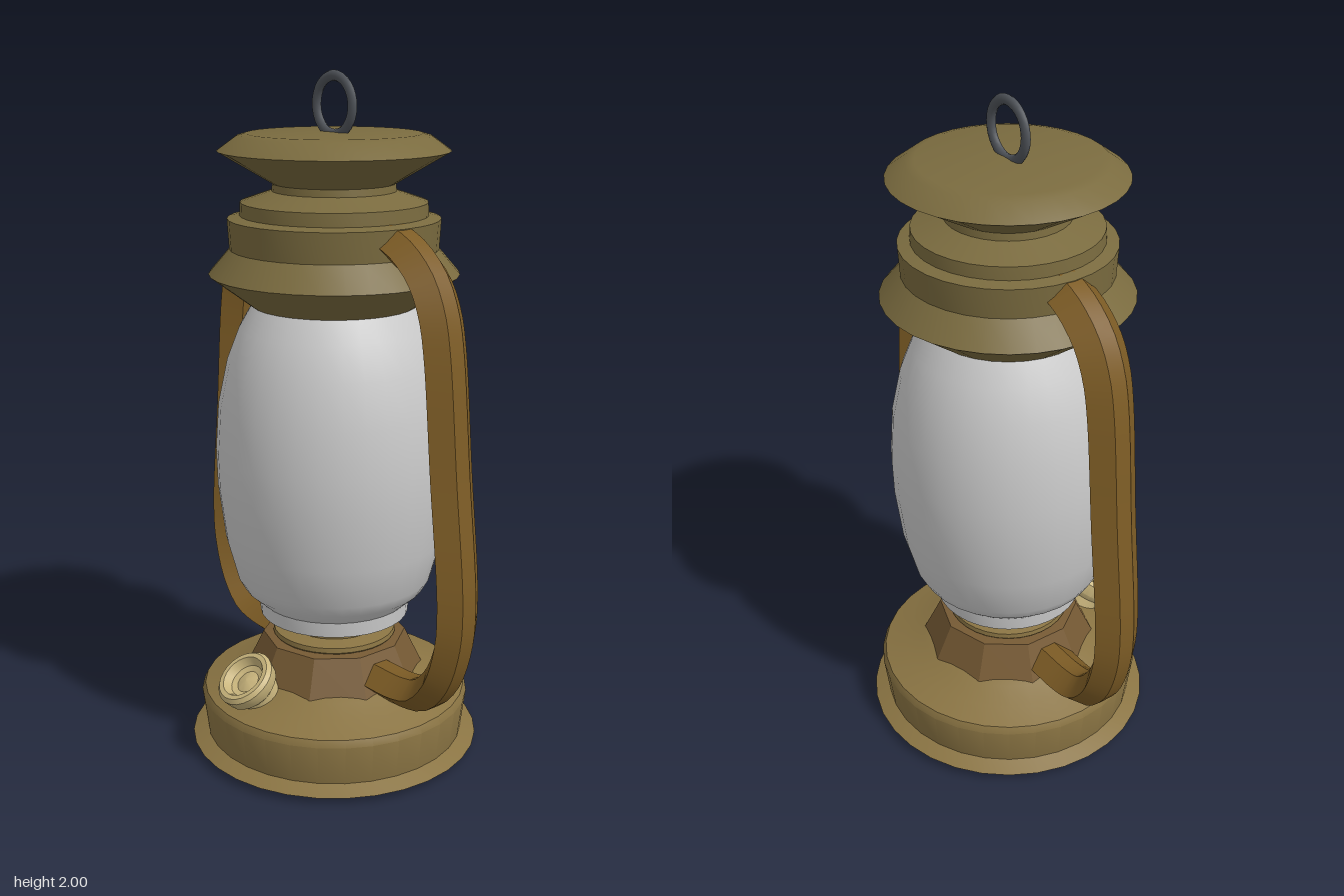
import * as THREE from 'three';
import { toCreasedNormals } from 'three/addons/utils/BufferGeometryUtils.js';

const mat = (color, extra = {}) => new THREE.MeshStandardMaterial({ color, ...extra });
const brass = mat(0x8a7443);
const hoodBrass = mat(0x7a6b3f);
const bronze = mat(0x765a34, { flatShading: true });
const tubeBrass = mat(0x7d5c25);
const paleBrass = mat(0xc8b47c);
const iron = mat(0x50545a);
const glass = mat(0xcccccc);

export function createModel() {
  const model = new THREE.Group();

  const add = (name, geometry, material) => {
    const mesh = new THREE.Mesh(geometry, material);
    mesh.name = name;
    model.add(mesh);
    return mesh;
  };

  // Turned part from [radius, height] pairs, listed from bottom to top
  const turned = (name, profile, material, segments = 32, crease = 0.6) => {
    const points = profile.map(([r, y]) => new THREE.Vector2(r, y));
    return add(name, toCreasedNormals(new THREE.LatheGeometry(points, segments), crease), material);
  };

  // Fuel tank with a flared foot
  turned('fuelTank', [
    [0, 0.005], [0.37, 0.005], [0.435, 0.025], [0.39, 0.045], [0.405, 0.165],
    [0.395, 0.185], [0.33, 0.208], [0.27, 0.235], [0.2, 0.27], [0, 0.28],
  ], brass);

  // Faceted collar above the tank
  turned('tankCollar', [[0.285, 0.2], [0.215, 0.345], [0.18, 0.348], [0, 0.348]], bronze, 10);

  // Burner rings holding the globe
  turned('burner', [
    [0.175, 0.34], [0.185, 0.352], [0.183, 0.366], [0.135, 0.374],
    [0.135, 0.385], [0.155, 0.395], [0.162, 0.425], [0, 0.425],
  ], brass);

  // Barrel-shaped globe
  turned('globe', [
    [0, 0.42], [0.222, 0.42], [0.226, 0.465], [0.27, 0.505], [0.29, 0.54], [0.322, 0.66],
    [0.342, 0.82], [0.345, 0.93], [0.335, 1.07], [0.307, 1.2], [0.272, 1.29], [0.235, 1.355],
    [0.2, 1.365], [0, 1.365],
  ], glass);

  // Stepped hood
  turned('hood', [
    [0, 1.355], [0.235, 1.355], [0.355, 1.445], [0.295, 1.515], [0.3, 1.6], [0.265, 1.608],
    [0.263, 1.645], [0.175, 1.675], [0.172, 1.7], [0, 1.7],
  ], hoodBrass);

  // Chimney cap
  turned('chimneyCap', [
    [0.165, 1.66], [0.172, 1.695], [0.325, 1.785], [0.27, 1.825], [0.245, 1.832], [0, 1.834],
  ], hoodBrass);

  // Hanging ring, flattened front to back
  const ringGeometry = new THREE.TorusGeometry(0.079, 0.015, 8, 32);
  ringGeometry.scale(1, 1, 0.75);
  add('hangingRing', ringGeometry, iron).position.y = 1.906;

  // Tilted filler cap with a dished top
  const filler = turned('fillerCap', [
    [0.06, -0.16], [0.068, -0.065], [0.084, -0.048], [0.09, -0.012], [0.08, 0],
    [0.066, 0], [0.052, -0.024], [0.035, -0.03], [0, -0.018],
  ], paleBrass, 24);
  filler.position.set(0, 0.293, 0.34);
  filler.rotation.x = 0.6435;

  // Side tubes: a wide hexagonal section swept from the hood to the tank
  const section = new THREE.Shape([
    [0.076, 0], [0.024, 0.046], [-0.024, 0.046], [-0.076, 0], [-0.024, -0.046], [0.024, -0.046],
  ].map(([x, y]) => new THREE.Vector2(x, y)));
  const centreLine = [
    [0.23, 1.57], [0.32, 1.54], [0.4, 1.475], [0.443, 1.395], [0.465, 1.3], [0.5, 0.97],
    [0.537, 0.62], [0.53, 0.5], [0.487, 0.375], [0.42, 0.3], [0.35, 0.278], [0.22, 0.272],
  ];
  for (const side of [-1, 1]) {
    const path = new THREE.CatmullRomCurve3(
      centreLine.map(([x, y]) => new THREE.Vector3(side * x, y, 0)));
    const tube = new THREE.ExtrudeGeometry(section, { steps: 48, extrudePath: path });
    add(side > 0 ? 'leftSideTube' : 'rightSideTube', toCreasedNormals(tube, 0.5), tubeBrass);
  }

  return model;
}
